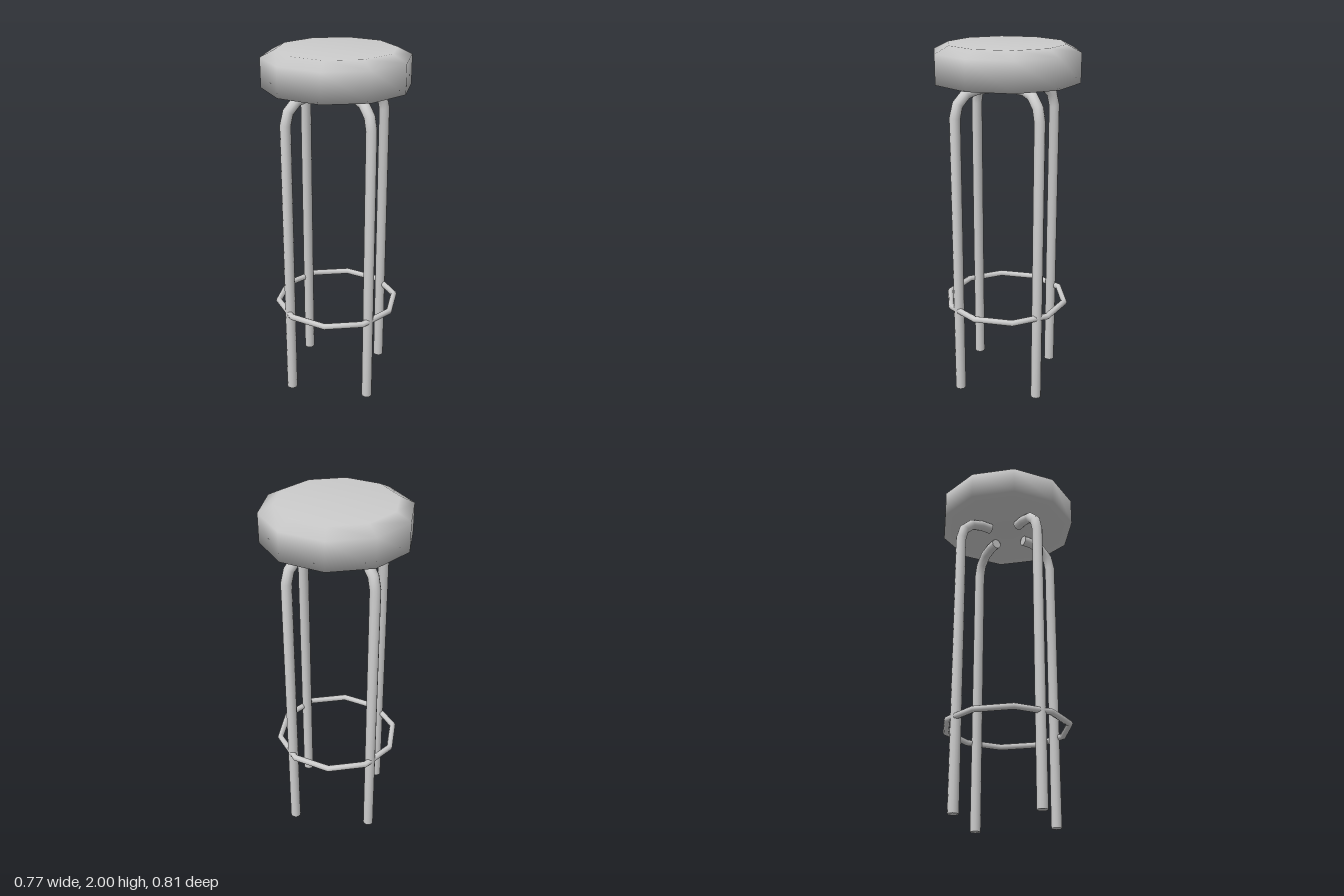
import * as THREE from 'three';
import { mergeGeometries } from 'three/addons/utils/BufferGeometryUtils.js';

const SIDES = 10;
const LEG_SIDES = 12;
const LEG_R = 0.03;

// Curve sampled exactly at its given points, so tube rings sit on the bends
class Polyline extends THREE.Curve {
  constructor(points) {
    super();
    this.points = points;
  }
  index(u) {
    return Math.round(u * (this.points.length - 1));
  }
  getPointAt(u) {
    return this.points[this.index(u)].clone();
  }
  getTangentAt(u) {
    const p = this.points, i = this.index(u);
    const dir = (a, b) => p[b].clone().sub(p[a]).normalize();
    if (i === 0) return dir(0, 1);
    if (i === p.length - 1) return dir(i - 1, i);
    return dir(i - 1, i).add(dir(i, i + 1)).normalize();
  }
}

// One leg in the XY plane: straight post, rounded bend, short inward arm
function legGeometry() {
  const x = 0.322, top = 1.77, bend = 0.14, end = 0.12, steps = 3;
  const pts = [new THREE.Vector3(x, 0, 0)];
  for (let i = 0; i <= steps; i++) {
    const a = (i / steps) * Math.PI / 2;
    pts.push(new THREE.Vector3(x - bend + bend * Math.cos(a), top - bend + bend * Math.sin(a), 0));
  }
  pts.push(new THREE.Vector3(end, top, 0));
  const tube = new THREE.TubeGeometry(new Polyline(pts), pts.length - 1, LEG_R, LEG_SIDES);
  const foot = new THREE.CircleGeometry(LEG_R, LEG_SIDES).rotateX(Math.PI / 2).translate(x, 0, 0);
  const tip = new THREE.CircleGeometry(LEG_R, LEG_SIDES).rotateY(-Math.PI / 2).translate(end, top, 0);
  return mergeGeometries([tube, foot, tip]);
}

export function createModel() {
  const model = new THREE.Group();
  model.name = 'barStool';
  const material = new THREE.MeshStandardMaterial({ color: 0xcccccc });
  const add = (name, geometry) => {
    const mesh = new THREE.Mesh(geometry, material);
    mesh.name = name;
    model.add(mesh);
    return mesh;
  };

  // Ten-sided cushion with a softened upper rim
  const profile = [[0, 1.8], [0.405, 1.8], [0.405, 1.96], [0.325, 2], [0, 2]];
  add('seat', new THREE.LatheGeometry(profile.map(([r, y]) => new THREE.Vector2(r, y)), SIDES));

  // Four legs on the diagonals
  const leg = legGeometry();
  ['backLeftLeg', 'backRightLeg', 'frontRightLeg', 'frontLeftLeg'].forEach((name, i) => {
    add(name, leg).rotation.y = Math.PI / 4 + i * Math.PI / 2;
  });

  // Ten-sided foot ring joining the legs
  const ring = new THREE.TorusGeometry(0.347, 0.018, 8, SIDES);
  ring.rotateX(Math.PI / 2).rotateY(Math.PI / 2).translate(0, 0.512, 0);
  add('footRing', ring);

  return model;
}
